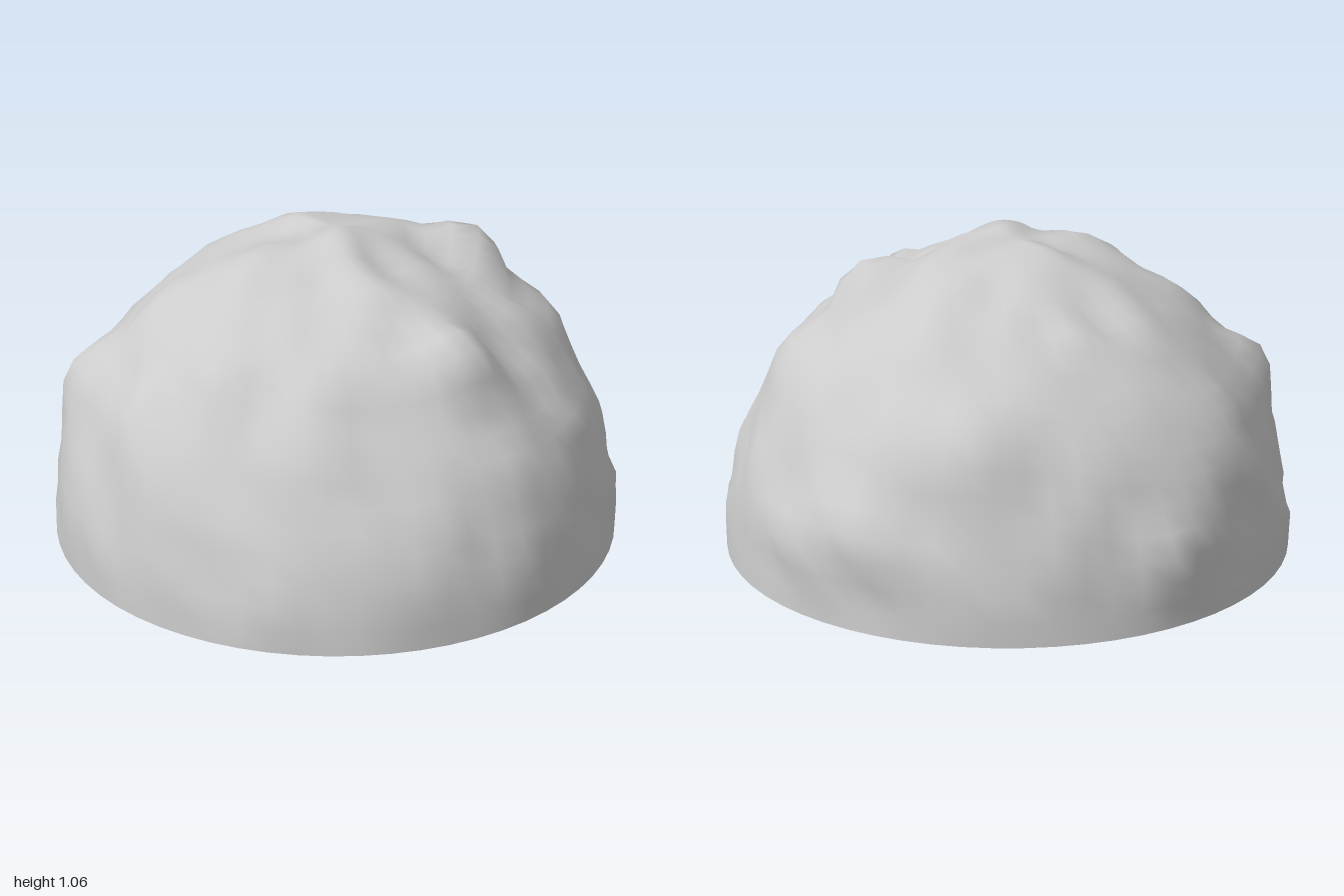
import * as THREE from 'three';
import { mergeVertices } from 'three/addons/utils/BufferGeometryUtils.js';

// Main knobs and hollows on the dome: position, height, angular width
const bumps = [
  [0.2, 1.0, -0.5, 0.1, 0.13],
  [0.71, 0.85, 0.0, 0.1, 0.12],
  [-0.44, 0.62, 0.83, 0.09, 0.14],
  [-1.0, 0.25, -0.1, 0.075, 0.1],
  [0.14, 1.08, 0.05, 0.06, 0.14],
  [-0.18, 1.03, 0.1, 0.02, 0.16],
  [0.1, 1.05, -0.22, 0.03, 0.1],
  [0.0, 1.0, 0.37, 0.03, 0.12],
  [-0.82, 0.6, 0.3, 0.045, 0.13],
  [-0.58, 0.65, -0.58, 0.06, 0.14],
  [-0.2, 0.27, -0.96, 0.025, 0.13],
  [-0.44, 0.32, -0.88, 0.04, 0.12],
  [0.4, 0.75, -0.72, 0.05, 0.14],
  [0.89, 0.48, -0.05, 0.03, 0.1],
  [0.0, 0.62, 0.85, 0.04, 0.13],
  [0.58, 0.5, 0.65, -0.03, 0.28],
  [0.43, 0.98, 0.1, 0.025, 0.13],
].map(([x, y, z, h, w]) => ({ dir: new THREE.Vector3(x, y, z).normalize(), h, w }));

// Smooth value noise on a lattice
function hash(x, y, z) {
  const s = Math.sin(x * 127.1 + y * 311.7 + z * 74.7) * 43758.5453;
  return s - Math.floor(s);
}
function noise(x, y, z) {
  const c = [x, y, z].map(Math.floor);
  const f = [x - c[0], y - c[1], z - c[2]].map((t) => t * t * (3 - 2 * t));
  let sum = 0;
  for (let i = 0; i < 8; i++) {
    const b = [i & 1, (i >> 1) & 1, i >> 2];
    const w = b.reduce((p, on, k) => p * (on ? f[k] : 1 - f[k]), 1);
    sum += w * hash(c[0] + b[0], c[1] + b[1], c[2] + b[2]);
  }
  return sum * 2 - 1;
}

// Distance of the rocky surface from the centre along a direction
function surfaceRadius(d) {
  const rise = Math.max(d.y, 0);
  const fade = THREE.MathUtils.smoothstep(rise, 0, 0.22);
  let r = 0.963 + 0.045 * rise * rise;
  for (const b of bumps) {
    const a = d.angleTo(b.dir) / b.w;
    r += fade * b.h * Math.exp(-a * a);
  }
  const rough = 0.018 * noise(d.x * 4.5 + 9, d.y * 4.5, d.z * 4.5)
    + 0.026 * noise(d.x * 8, d.y * 8 + 5, d.z * 8);
  return r + fade * rough;
}

export function createModel() {
  const model = new THREE.Group();

  // Hollow rocky dome, open underneath
  let geometry = new THREE.SphereGeometry(1, 64, 20, 0, Math.PI * 2, 0, Math.PI / 2);
  geometry.deleteAttribute('uv');
  geometry.deleteAttribute('normal');
  geometry = mergeVertices(geometry, 1e-4);
  const pos = geometry.attributes.position;
  const d = new THREE.Vector3();
  for (let i = 0; i < pos.count; i++) {
    d.fromBufferAttribute(pos, i).normalize();
    const r = surfaceRadius(d);
    pos.setXYZ(i, d.x * r + 0.02 * (1 - d.y), Math.max(0, d.y * r), d.z * r);
  }
  geometry.computeVertexNormals();

  const dome = new THREE.Mesh(
    geometry,
    new THREE.MeshStandardMaterial({ color: 0xcccccc, side: THREE.DoubleSide }),
  );
  dome.name = 'rockyDome';
  model.add(dome);
  return model;
}
